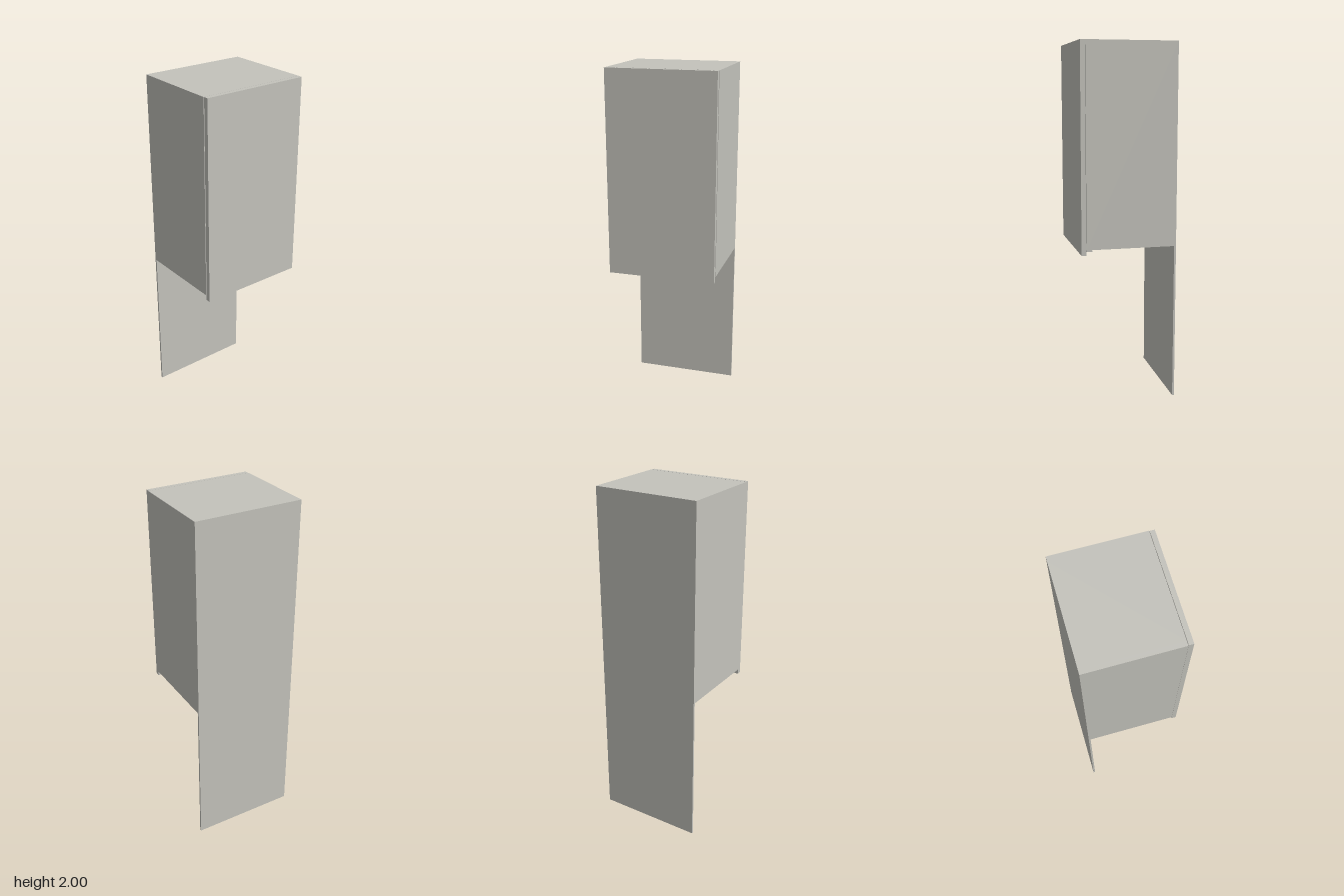
import * as THREE from 'three';

export function createModel() {
  const cabinet = new THREE.Group();
  cabinet.name = 'wallCabinet';
  const board = new THREE.MeshStandardMaterial({ color: 0xc4c3bc });
  board.name = 'warm grey board';

  // Flat panel given by its extents on each axis
  function panel(name, [x0, x1], [y0, y1], [z0, z1]) {
    const mesh = new THREE.Mesh(new THREE.BoxGeometry(x1 - x0, y1 - y0, z1 - z0), board);
    mesh.name = name;
    mesh.position.set((x0 + x1) / 2, (y0 + y1) / 2, (z0 + z1) / 2);
    cabinet.add(mesh);
  }

  const outer = 0.308, inner = 0.281, thick = 0.027;
  const base = 0.882, top = 2, back = -0.268, front = 0.24;
  const inside = [-inner, inner];

  // Carcass
  panel('leftSide', [inner, outer], [base, top], [back, front]);
  panel('rightSide', [-outer, -inner], [base, top], [back, front]);
  panel('topPanel', inside, [top - thick, top], [back, front]);
  panel('bottomPanel', inside, [base, base + thick], [back, front]);
  panel('backPanel', inside, [base + thick, top - thick], [back, back + 0.012]);

  // Door overhanging the bottom edge, with a small reveal behind it
  panel('door', [-0.306, 0.306], [0.852, top], [front + 0.002, 0.268]);

  // Rail under the cabinet, just behind the door
  panel('underRail', inside, [0.867, base], [0.204, 0.234]);

  // Thin wall panel hanging below the back
  panel('lowerBackPanel', [-outer, outer], [0, base], [back, back + 0.011]);

  return cabinet;
}
